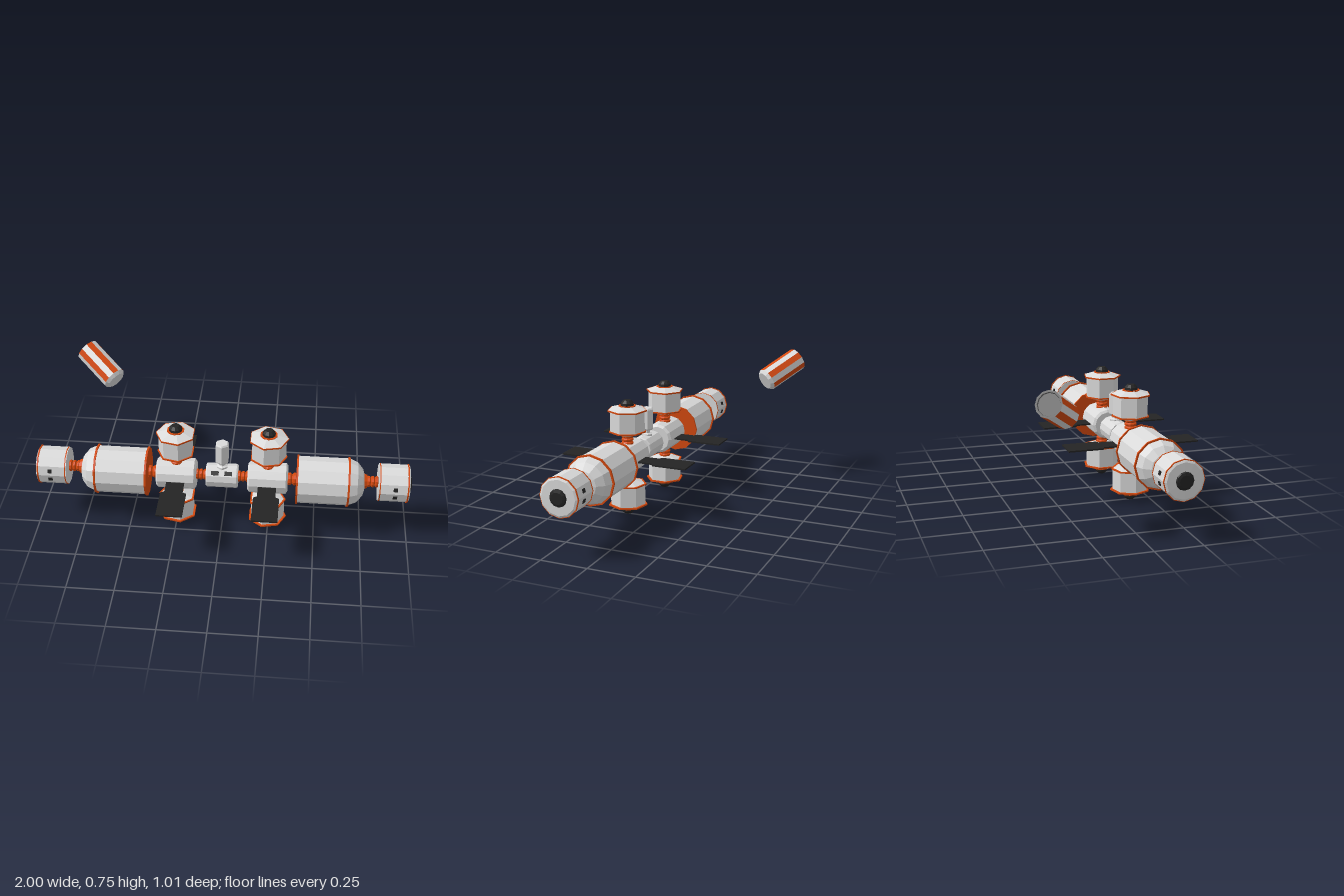
import * as THREE from 'three';

const paint = (name, hex) => {
  const m = new THREE.MeshStandardMaterial({ color: hex });
  m.name = name;
  return m;
};

export function createModel() {
  const white = paint('hull white', 0xdadada);
  const orange = paint('trim orange', 0xd4490f);
  const black = paint('panel black', 0x242424);
  const grey = paint('hatch grey', 0x6a6a6a);

  const model = new THREE.Group();
  model.name = 'spaceStation';

  // Faceted mesh with one normal per face
  function add(parent, name, geometry, material) {
    const g = geometry.index ? geometry.toNonIndexed() : geometry;
    g.computeVertexNormals();
    const mesh = new THREE.Mesh(g, material);
    mesh.name = name;
    parent.add(mesh);
    return mesh;
  }
  // Turned part from [radius, height] pairs, bottom to top
  const lathe = (points, sides, start = 0) =>
    new THREE.LatheGeometry(points.map(p => new THREE.Vector2(p[0], p[1])), sides, start);
  const upright = (parent, name, points, sides, mat, start) =>
    add(parent, name, lathe(points, sides, start), mat);
  const along = (parent, name, points, sides, mat, start) =>
    add(parent, name, lathe(points, sides, start).rotateZ(-Math.PI / 2), mat);
  // Closed band profile
  const band = (r, a, b) => [[0, a], [r, a], [r, b], [0, b]];
  // Ribbed connector profile
  function ribs(a, b, r, count) {
    const pts = [[0, a]], step = (b - a) / count;
    for (let i = 0; i < count; i++) {
      const y = a + i * step;
      pts.push([r * 0.75, y], [r, y + step * 0.3], [r, y + step * 0.7], [r * 0.75, y + step]);
    }
    pts.push([0, b]);
    return pts;
  }

  const station = new THREE.Group();
  station.name = 'station';
  station.position.set(0, 0.319, 0.15);
  model.add(station);

  // Central hub with a small tower
  along(station, 'hub', [[0, -0.085], [0.06, -0.085], [0.065, -0.078], [0.065, 0.078], [0.06, 0.085], [0, 0.085]], 12, white);
  upright(station, 'towerNeck', [[0.032, 0.05], [0.032, 0.068], [0.02, 0.074], [0.02, 0.095]], 6, white);
  upright(station, 'tower', [[0, 0.09], [0.03, 0.09], [0.038, 0.1], [0.038, 0.205], [0.032, 0.213], [0, 0.213]], 6, white);
  for (const x of [-0.035, 0.035]) {
    const w = add(station, 'hubWindow', new THREE.BoxGeometry(0.04, 0.022, 0.009), black);
    w.position.set(x, 0.0445, 0.0445);
    w.rotation.x = -Math.PI / 4;
  }

  // Crew pod above or below a node
  function buildPod(parent) {
    const pod = new THREE.Group();
    pod.name = 'pod';
    const a = Math.PI / 2;
    upright(pod, 'podConnector', ribs(0.07, 0.128, 0.032, 3), 10, orange);
    upright(pod, 'podFoot', [[0, 0.124], [0.04, 0.124], [0.093, 0.142]], 7, white, a);
    upright(pod, 'podLowerTrim', band(0.1, 0.141, 0.148), 7, orange, a);
    upright(pod, 'podBody', band(0.093, 0.147, 0.256), 7, white, a);
    upright(pod, 'podUpperTrim', band(0.105, 0.254, 0.262), 7, orange, a);
    upright(pod, 'podRoof', [[0.102, 0.262], [0.045, 0.28], [0, 0.28]], 7, white, a);
    upright(pod, 'podCapTrim', band(0.046, 0.277, 0.283), 10, orange);
    upright(pod, 'podCap', [[0.036, 0.28], [0.034, 0.296], [0.02, 0.311], [0, 0.311]], 10, black);
    parent.add(pod);
    return pod;
  }

  // Solar panel outline: narrow stem widening to a rectangle
  const outline = new THREE.Shape([
    [-0.048, 0.05], [0.048, 0.05], [0.048, 0.16], [0.068, 0.172],
    [0.068, 0.355], [-0.068, 0.355], [-0.068, 0.172], [-0.048, 0.16],
  ].map(p => new THREE.Vector2(p[0], p[1])));

  function buildArm(name) {
    const arm = new THREE.Group();
    arm.name = name;

    // Node with two pods and two panels
    along(arm, 'innerConnector', ribs(0.08, 0.145, 0.03, 3), 10, orange);
    along(arm, 'node', [[0, 0.137], [0.07, 0.137], [0.083, 0.147], [0.083, 0.34], [0.07, 0.35], [0, 0.35]], 12, white);
    const node = new THREE.Group();
    node.name = 'nodeFittings';
    node.position.x = 0.243;
    arm.add(node);
    buildPod(node);
    buildPod(node).rotation.x = Math.PI;
    for (const turn of [0, Math.PI]) {
      const geo = new THREE.ExtrudeGeometry(outline, { depth: 0.008, bevelEnabled: false });
      geo.rotateX(Math.PI / 2).translate(0, -0.002, 0);
      add(node, 'solarPanel', geo, black).rotation.y = turn;
    }
    along(arm, 'outerConnector', ribs(0.345, 0.4, 0.035, 2), 10, orange);

    // Large tank with a domed outer end
    along(arm, 'tank', band(0.126, 0.396, 0.672), 12, white);
    along(arm, 'tankInnerTrim', band(0.133, 0.394, 0.404), 12, orange);
    along(arm, 'tankOuterTrim', band(0.134, 0.664, 0.674), 12, orange);
    along(arm, 'tankDome', [[0.126, 0.672], [0.108, 0.715], [0.072, 0.745], [0.04, 0.754], [0, 0.754]], 12, white);

    // Docking drum at the tip
    const drum = new THREE.Group();
    drum.name = 'dockingDrum';
    drum.position.y = 0.011;
    arm.add(drum);
    along(drum, 'drumCollar', [[0.045, 0.745], [0.036, 0.768], [0, 0.768]], 10, orange);
    along(drum, 'drumConnector', ribs(0.765, 0.828, 0.031, 3), 10, orange);
    along(drum, 'drumBody', [[0, 0.825], [0.1, 0.825], [0.1, 0.983], [0.09, 0.988], [0, 0.99]], 12, white);
    along(drum, 'drumInnerTrim', band(0.102, 0.829, 0.834), 12, orange);
    along(drum, 'drumOuterTrim', band(0.104, 0.974, 0.981), 12, orange);
    along(drum, 'drumHatch', [[0.048, 0.985], [0.042, 0.996], [0.03, 1], [0, 1]], 12, black);
    for (const side of [1, -1]) for (const up of [1, -1]) {
      const angle = up * Math.PI / 12;
      const w = add(drum, 'drumWindow', new THREE.BoxGeometry(0.022, 0.02, 0.008), black);
      w.position.set(0.912, 0.097 * Math.sin(angle), side * 0.097 * Math.cos(angle));
      w.rotation.x = -side * angle;
    }
    station.add(arm);
    return arm;
  }
  buildArm('leftArm');
  buildArm('rightArm').rotation.y = Math.PI;

  // Free-floating striped capsule
  const capsule = new THREE.Group();
  capsule.name = 'capsule';
  capsule.position.set(-0.726, 0.642, -0.379);
  capsule.quaternion.setFromUnitVectors(
    new THREE.Vector3(0, 1, 0), new THREE.Vector3(-0.72, 0.43, -0.545).normalize());
  model.add(capsule);
  const sides = 12, step = Math.PI * 2 / sides;
  for (let i = 0; i < sides; i++) {
    const strip = new THREE.LatheGeometry(
      [new THREE.Vector2(0.067, -0.108), new THREE.Vector2(0.067, 0.125)], 1, i * step, step);
    add(capsule, 'capsuleStripe', strip, i % 2 ? orange : white);
  }
  upright(capsule, 'capsuleNose', [[0, -0.125], [0.052, -0.125], [0.067, -0.108]], sides, white);
  upright(capsule, 'capsuleHatch', [[0.067, 0.125], [0.057, 0.125], [0.054, 0.118], [0, 0.118]], sides, grey);

  return model;
}
